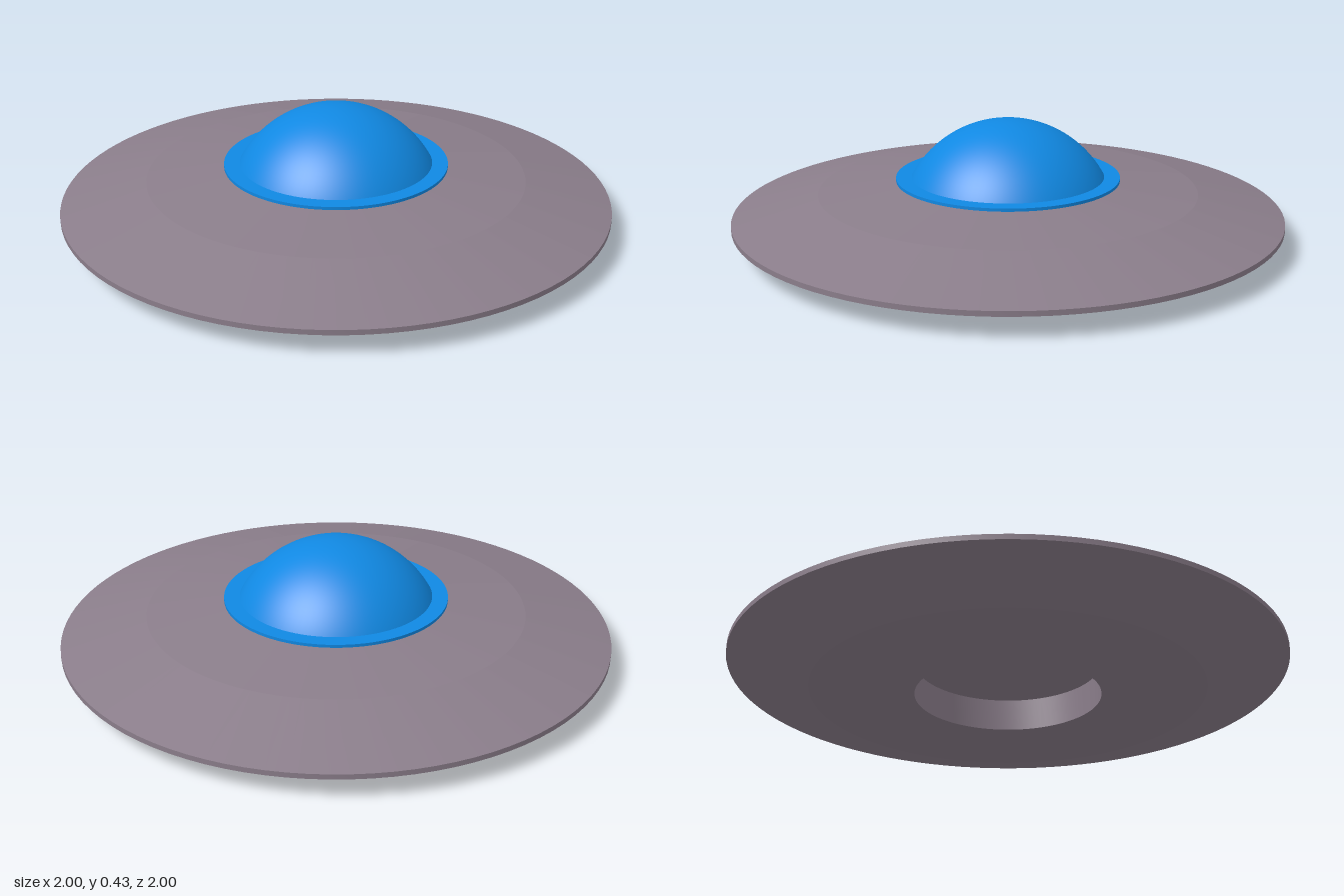
import * as THREE from 'three';
import { toCreasedNormals } from 'three/addons/utils/BufferGeometryUtils.js';

const SEGMENTS = 96;

export function createModel() {
  const group = new THREE.Group();
  group.name = 'flyingSaucer';

  const hullGrey = new THREE.MeshStandardMaterial({ color: 0x8a7d8a });
  hullGrey.name = 'hullGrey';
  const domeBlue = new THREE.MeshStandardMaterial({ color: 0x1088e2 });
  domeBlue.name = 'domeBlue';

  // Spins a profile of [radius, height] pairs, running from underside to top
  const addTurned = (name, profile, material, crease) => {
    const points = profile.map(([r, y]) => new THREE.Vector2(r, y));
    const lathe = new THREE.LatheGeometry(points, SEGMENTS);
    const geometry = crease ? toCreasedNormals(lathe, crease) : lathe;
    const mesh = new THREE.Mesh(geometry, material);
    mesh.name = name;
    group.add(mesh);
  };

  // Disc-shaped hull with a round recess in its underside
  addTurned('hull', [
    [0, 0.12], [0.335, 0.12], [0.335, 0],
    [0.71, 0], [1, 0.078], [1, 0.096],
    [0.69, 0.175], [0.4, 0.212], [0, 0.212],
  ], hullGrey, 0.1);

  // Flat collar around the dome
  addTurned('domeCollar', [
    [0, 0.213], [0.408, 0.213], [0.408, 0.224], [0, 0.224],
  ], domeBlue, 0.5);

  // Dome: a spherical cap defined by its base radius and height
  const baseRadius = 0.352, baseY = 0.222, height = 0.208;
  const radius = (baseRadius ** 2 + height ** 2) / (2 * height);
  const capAngle = Math.asin(baseRadius / radius);
  const dome = new THREE.Mesh(
    new THREE.SphereGeometry(radius, SEGMENTS, 24, 0, Math.PI * 2, 0, capAngle),
    domeBlue,
  );
  dome.name = 'dome';
  dome.position.y = baseY + height - radius;
  group.add(dome);

  return group;
}
